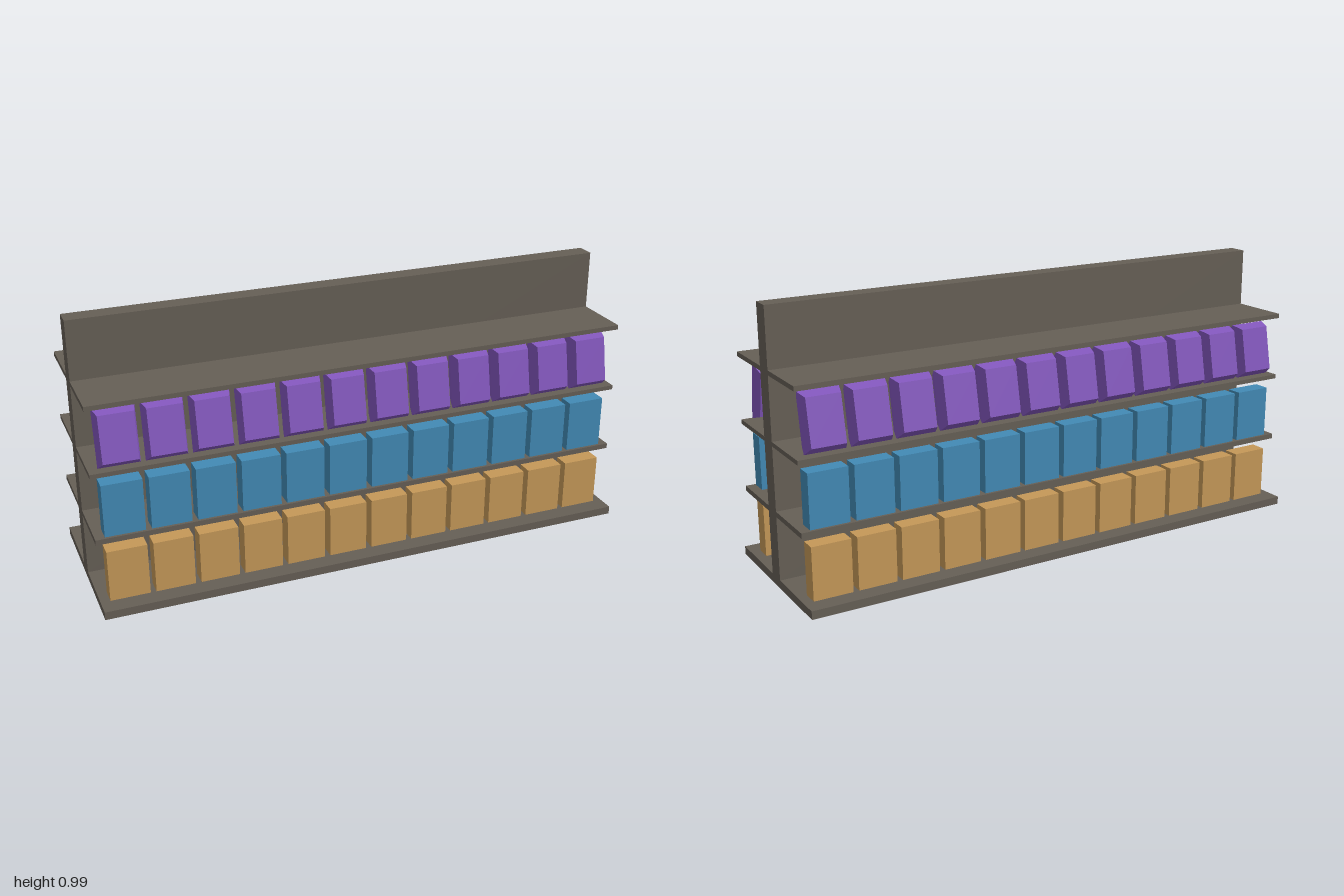
import * as THREE from 'three';

const mat = (name, color) => {
  const m = new THREE.MeshStandardMaterial({ color });
  m.name = name;
  return m;
};

// Pillow-shaped pack: small back face, wide leaning seam, small front face
function packGeometry() {
  const rings = [ // halfWidth, bottom [y, z], top [y, z], from back to front
    [0.061, [0.546, 0.191], [0.708, 0.162]],
    [0.073, [0.533, 0.235], [0.734, 0.196]],
    [0.061, [0.561, 0.272], [0.723, 0.24]],
  ].map(([w, b, t]) => [[-w, ...b], [w, ...b], [w, ...t], [-w, ...t]]);
  const pos = [];
  const quad = (a, b, c, d) => pos.push(...a, ...b, ...c, ...a, ...c, ...d);
  for (let r = 0; r < 2; r++) {
    for (let i = 0; i < 4; i++) {
      const j = (i + 1) % 4;
      quad(rings[r][i], rings[r][j], rings[r + 1][j], rings[r + 1][i]);
    }
  }
  quad(...rings[2]);
  quad(...[...rings[0]].reverse());
  const g = new THREE.BufferGeometry();
  g.setAttribute('position', new THREE.Float32BufferAttribute(pos, 3));
  g.computeVertexNormals();
  return g;
}

// Box given by its width and its y and z ranges
function boxGeometry(width, y0, y1, z0, z1) {
  return new THREE.BoxGeometry(width, y1 - y0, z1 - z0)
    .translate(0, (y0 + y1) / 2, (z0 + z1) / 2);
}

export function createModel() {
  const model = new THREE.Group();
  model.name = 'shelfUnit';
  const frame = mat('warmGrey', 0x665f56);
  const orange = mat('tan', 0xc59858);
  const blue = mat('blue', 0x428ab5);
  const purple = mat('purple', 0x8256bc);

  const add = (parent, name, geometry, material) => {
    const mesh = new THREE.Mesh(geometry, material);
    mesh.name = name;
    parent.add(mesh);
    return mesh;
  };

  // Base plate and central wall
  add(model, 'base', boxGeometry(2, 0, 0.03, -0.315, 0.315), frame);
  add(model, 'centreWall', boxGeometry(2, 0.03, 0.987, -0.035, 0.035), frame);

  const shelves = [[0.262, 0.281], [0.511, 0.527], [0.754, 0.771]]
    .map(([y0, y1]) => boxGeometry(2, y0, y1, 0.035, 0.26));
  const goods = [
    ['lowerBox', boxGeometry(0.142, 0.03, 0.222, 0.19, 0.25), orange],
    ['middleBox', boxGeometry(0.142, 0.281, 0.475, 0.19, 0.25), blue],
    ['upperPack', packGeometry(), purple],
  ];

  // Front and back sides: three shelves and three rows of twelve goods
  for (const name of ['frontSide', 'backSide']) {
    const side = new THREE.Group();
    side.name = name;
    if (name === 'backSide') side.rotation.y = Math.PI;
    shelves.forEach((g) => add(side, 'shelf', g, frame));
    for (const [part, geometry, material] of goods) {
      for (let i = 0; i < 12; i++) {
        add(side, part, geometry, material).position.x = (i - 5.5) * 0.1627;
      }
    }
    model.add(side);
  }
  return model;
}
